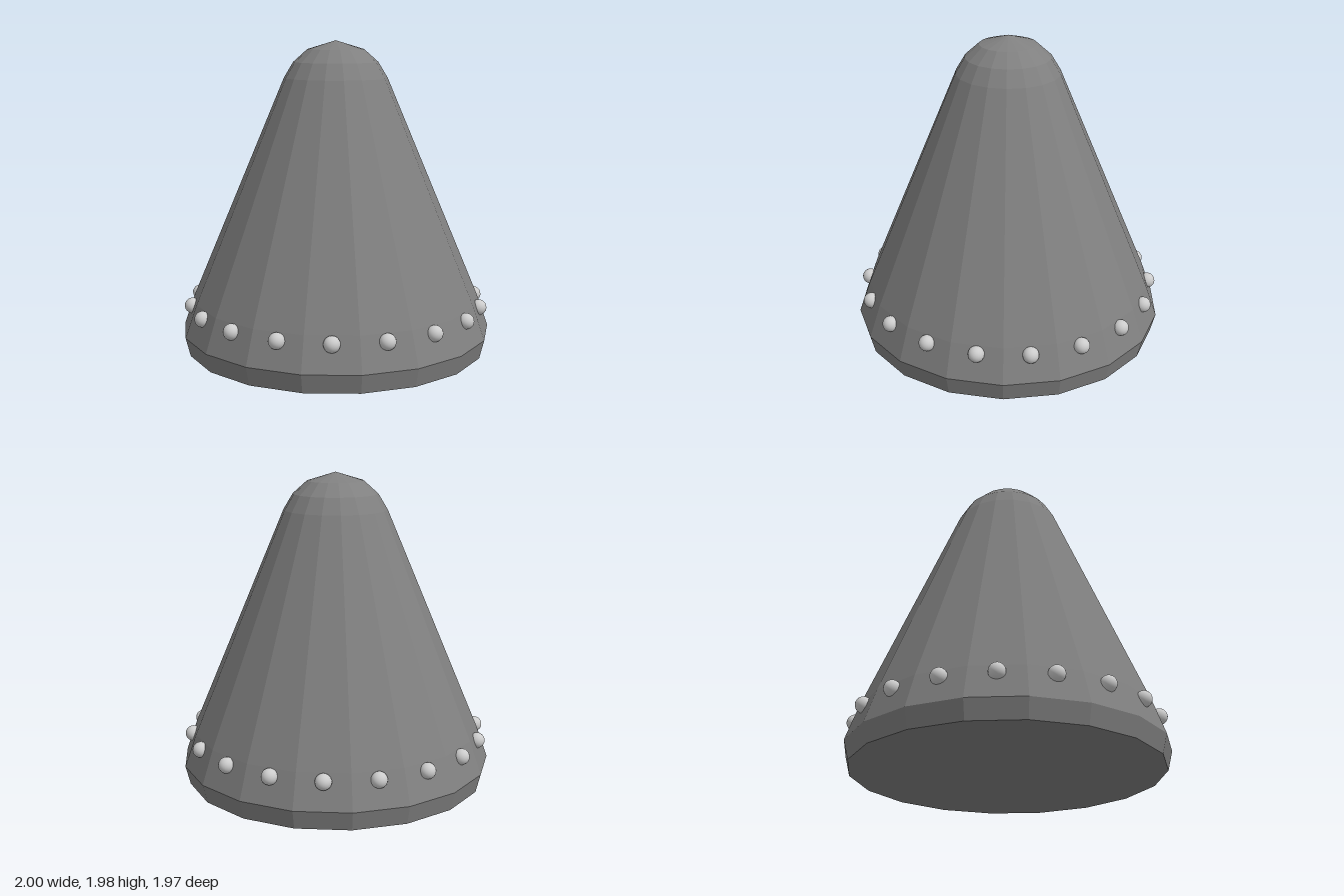
import * as THREE from 'three';

const SIDES = 18;

export function createModel() {
  const model = new THREE.Group();
  model.name = 'studdedCone';

  // Faceted cone with a bevelled foot and a rounded tip, closed underneath
  const profile = [
    [0, 0], [0.97, 0], [1, 0.12], [0.925, 0.33], [0.33, 1.74],
    [0.27, 1.84], [0.18, 1.92], [0, 1.975],
  ].map(([r, y]) => new THREE.Vector2(r, y));
  const body = new THREE.Mesh(
    new THREE.LatheGeometry(profile, SIDES, Math.PI / 2),
    new THREE.MeshStandardMaterial({ color: 0x808080, flatShading: true }),
  );
  body.name = 'coneBody';
  model.add(body);

  // One round stud in the middle of each facet, just above the foot
  const studs = new THREE.Group();
  studs.name = 'studs';
  const studGeometry = new THREE.SphereGeometry(0.05, 20, 14);
  const studMaterial = new THREE.MeshStandardMaterial({ color: 0xcccccc });
  for (let i = 0; i < SIDES; i++) {
    const angle = (i / SIDES) * Math.PI * 2;
    const stud = new THREE.Mesh(studGeometry, studMaterial);
    stud.name = `stud${i + 1}`;
    stud.position.set(Math.sin(angle) * 0.935, 0.285, Math.cos(angle) * 0.935);
    studs.add(stud);
  }
  model.add(studs);

  return model;
}
